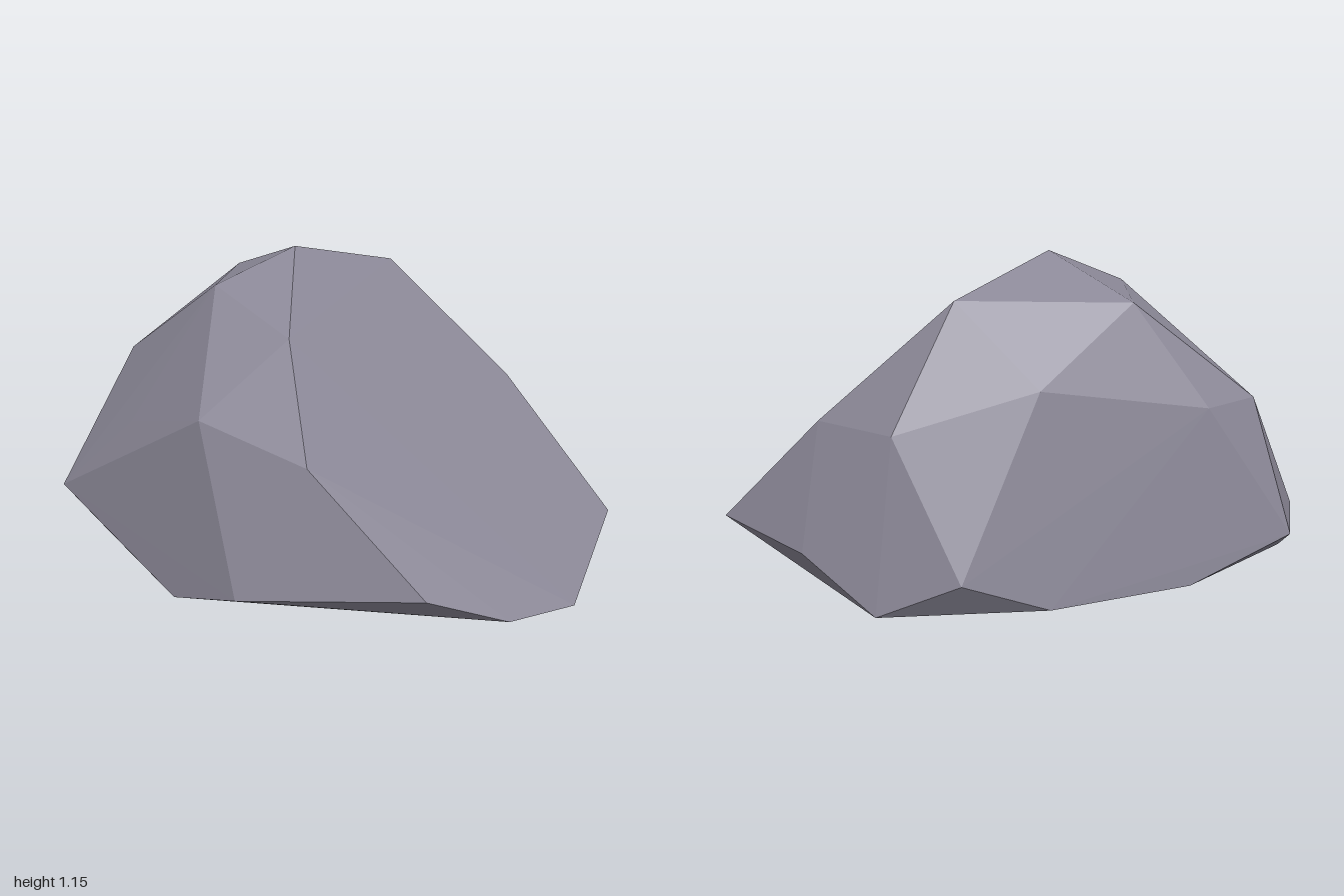
import * as THREE from 'three';
import { ConvexGeometry } from 'three/addons/geometries/ConvexGeometry.js';

// Corner points of the boulder, grouped by height band
const crown = [
  [-0.13, 1.155, -0.06], [0.1, 1.045, -0.46], [0.01, 0.94, 0.345],
  [-0.36, 1.035, 0.115], [-0.445, 1.025, -0.27], [-0.2, 0.8, -0.585],
];
const shoulder = [
  [0.565, 0.63, -0.48], [0.457, 0.537, 0.3], [0.213, 0.66, 0.71],
  [-0.205, 0.714, 0.585], [-0.63, 0.55, 0.28], [-0.84, 0.693, -0.12],
  [-0.7, 0.69, -0.28], [0.24, 0.665, -0.705],
];
const waist = [
  [1, 0.2, -0.325], [0.575, 0.243, 0.64], [0.013, 0.23, 0.815],
  [-0.54, 0.2, 0.468], [-1, 0.21, 0.195], [-0.99, 0.225, -0.152],
  [-0.005, 0.24, -0.82], [0.56, 0.242, -0.685],
];
const skirt = [
  [0.97, 0.093, 0.23], [0.8, 0.12, 0.455], [-0.287, 0.1, 0.655],
  [-0.715, 0.12, 0.34], [-0.955, 0.135, -0.035], [-0.67, 0.11, -0.387],
  [-0.255, 0.118, -0.675], [0.28, 0.097, -0.795], [0.7, 0.138, -0.455],
  [0.89, 0.12, -0.015],
];
const base = [
  [-0.215, 0, 0.44], [0.445, 0.015, -0.31], [0.425, 0.032, 0.235],
  [-0.58, 0.035, -0.05], [-0.02, 0.01, -0.05],
];

export function createModel() {
  const group = new THREE.Group();
  group.name = 'boulder';

  const stone = new THREE.MeshStandardMaterial({ color: 0x8c8998 });
  stone.name = 'grey stone';

  // Faceted hull with one flat normal per face
  const points = [...crown, ...shoulder, ...waist, ...skirt, ...base]
    .map((p) => new THREE.Vector3(...p));
  const rock = new THREE.Mesh(new ConvexGeometry(points), stone);
  rock.name = 'rock';
  group.add(rock);
  return group;
}
